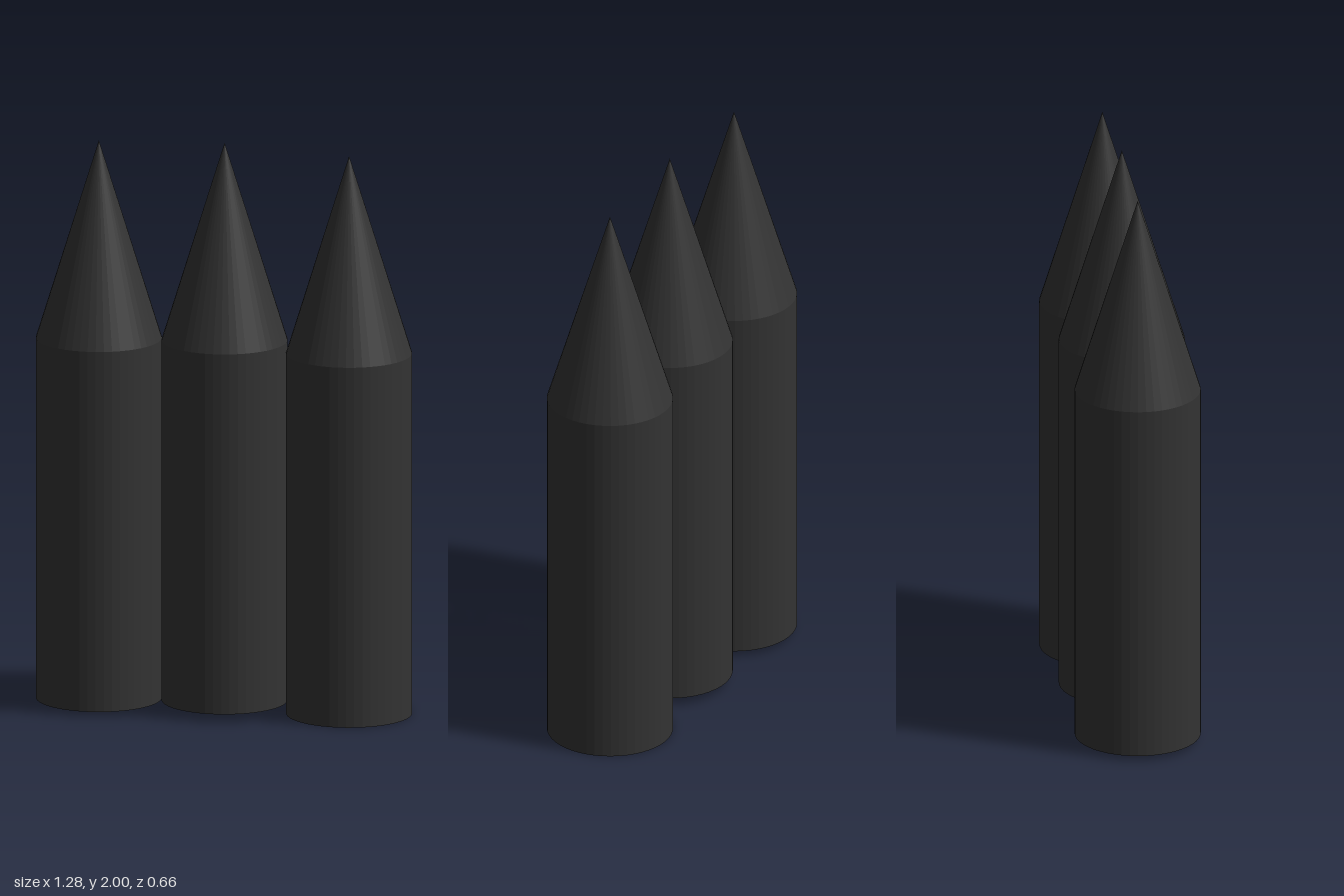
import * as THREE from 'three';

const RADIUS = 0.217;
const BODY = 1.273;   // length of the straight shaft
const TIP = 0.697;    // length of the cone
const SIDES = 48;

// One pointed rod: capped shaft with a cone on top
function makeRod(name, material) {
  const rod = new THREE.Group();
  rod.name = name;

  const shaft = new THREE.Mesh(
    new THREE.CylinderGeometry(RADIUS, RADIUS, BODY, SIDES), material);
  shaft.name = 'shaft';
  shaft.position.y = BODY / 2;

  const point = new THREE.Mesh(
    new THREE.ConeGeometry(RADIUS, TIP, SIDES, 1, true), material);
  point.name = 'point';
  point.position.y = BODY + TIP / 2;

  rod.add(shaft, point);
  return rod;
}

export function createModel() {
  const model = new THREE.Group();
  model.name = 'pointedRods';
  const material = new THREE.MeshStandardMaterial({ color: 0x333333, flatShading: true });

  // Three rods in a slanted row, each at a slightly different height
  const rods = [
    ['rightRod', -0.424, 0.018, -0.115],
    ['middleRod', 0, 0.03, 0.005],
    ['leftRod', 0.421, 0, 0.11],
  ];
  for (const [name, x, y, z] of rods) {
    const rod = makeRod(name, material);
    rod.position.set(x, y, z);
    model.add(rod);
  }
  return model;
}
